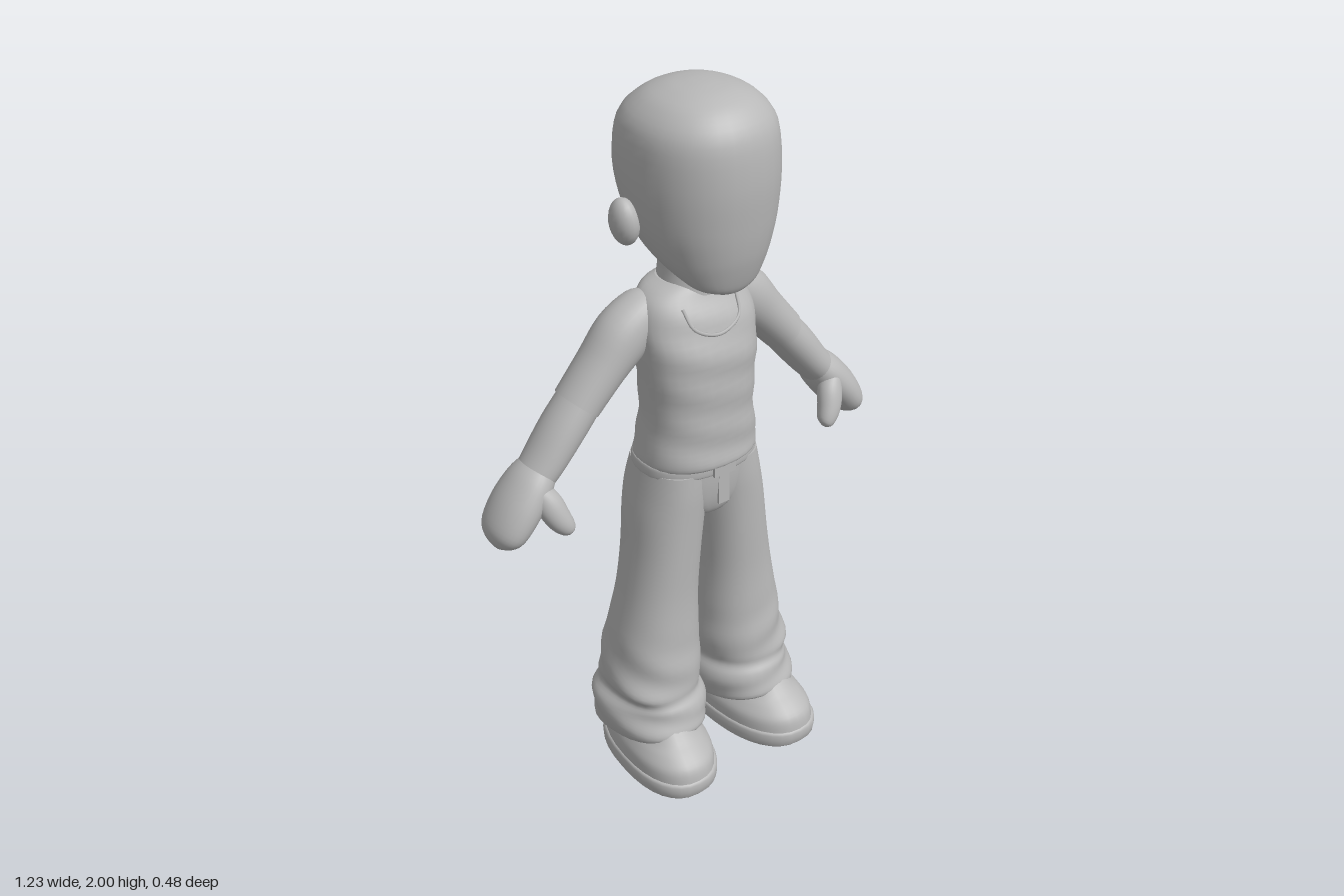
import * as THREE from 'three';

const grey = new THREE.MeshStandardMaterial({ color: 0xb8b8b8 });
grey.name = 'plain grey';
const SIDES = 32;

// Smoothly interpolate rows of numbers (Catmull-Rom on every column)
function resample(rows, steps) {
  const out = [];
  for (let i = 0; i < rows.length - 1; i++) {
    const p0 = rows[Math.max(i - 1, 0)], p1 = rows[i], p2 = rows[i + 1];
    const p3 = rows[Math.min(i + 2, rows.length - 1)];
    for (let s = 0; s < steps; s++) {
      const t = s / steps;
      out.push(p1.map((_, k) => {
        const a = p0[k], b = p1[k], c = p2[k], d = p3[k];
        return 0.5 * (2 * b + (c - a) * t + (2 * a - 5 * b + 4 * c - d) * t * t
          + (3 * b - a - 3 * c + d) * t * t * t);
      }));
    }
  }
  out.push(rows[rows.length - 1]);
  return out;
}

// Skin closed rings of points, with flat end caps
function skin(rings) {
  const pos = [], index = [], n = SIDES;
  const add = (p) => pos.push(p.x, p.y, p.z) / 3 - 1;
  rings.forEach((r) => r.forEach(add));
  for (let i = 0; i < rings.length - 1; i++) {
    for (let j = 0; j < n; j++) {
      const a = i * n + j, b = i * n + (j + 1) % n;
      index.push(a, a + n, b, b, a + n, b + n);
    }
  }
  [rings[0], rings[rings.length - 1]].forEach((ring, end) => {
    const mid = new THREE.Vector3();
    ring.forEach((p) => mid.addScaledVector(p, 1 / n));
    const first = ring.map(add)[0], c = add(mid);
    for (let j = 0; j < n; j++) {
      const a = first + j, b = first + (j + 1) % n;
      if (end) index.push(a, c, b); else index.push(a, b, c);
    }
  });
  const g = new THREE.BufferGeometry();
  g.setAttribute('position', new THREE.Float32BufferAttribute(pos, 3));
  g.setIndex(index);
  g.computeVertexNormals();
  return g;
}

const sp = (v, e) => Math.sign(v) * Math.pow(Math.abs(v), e);
const angles = Array.from({ length: SIDES }, (_, j) => (j / SIDES) * Math.PI * 2);

// Upright form. Rows: [y, xMin, xMax, zFront, zBack]
function upright(rows, { steps = 4, round = 1, warp } = {}) {
  return skin(resample(rows, steps).map(([y, x0, x1, zf, zb]) => angles.map((a) => {
    const p = new THREE.Vector3(
      (x0 + x1) / 2 + sp(Math.cos(a), round) * (x1 - x0) / 2, y,
      (zf + zb) / 2 + sp(Math.sin(a), round) * (zf - zb) / 2);
    if (warp) warp(p, a);
    return p;
  })));
}
// Rows for symmetric forms: [y, halfWidth, zFront, zBack]
const even = (rows) => rows.map(([y, w, f, b]) => [y, -w, w, f, b]);

// Limb bending in the xy plane. Rows: [x, y, z, radius, depthRadius]
function limb(rows, steps = 4) {
  const r = resample(rows, steps);
  return skin(r.map(([x, y, z, rn, rz], i) => {
    const p = r[Math.max(i - 1, 0)], q = r[Math.min(i + 1, r.length - 1)];
    const d = new THREE.Vector2(q[0] - p[0], q[1] - p[1]).normalize();
    return angles.map((a) => new THREE.Vector3(
      x + d.y * Math.cos(a) * rn, y - d.x * Math.cos(a) * rn, z + Math.sin(a) * rz));
  }));
}

function put(parent, name, geometry, x = 0, y = 0, z = 0) {
  const m = new THREE.Mesh(geometry, grey);
  m.name = name;
  m.position.set(x, y, z);
  parent.add(m);
  return m;
}

function buildSide() {
  const side = new THREE.Group();
  // Ear
  const ear = put(side, 'ear', new THREE.SphereGeometry(1, 20, 14), 0.2, 1.67, -0.045);
  ear.scale.set(0.036, 0.063, 0.045);
  ear.rotation.z = -0.1;

  // Arm in two pieces, meeting at the sleeve seam by the elbow
  put(side, 'upperArm', limb([
    [0.10, 1.415, -0.075, 0.03, 0.04], [0.125, 1.40, -0.075, 0.058, 0.064],
    [0.19, 1.345, -0.077, 0.077, 0.074], [0.26, 1.27, -0.08, 0.066, 0.072],
    [0.335, 1.185, -0.083, 0.06, 0.07]]));
  put(side, 'forearm', limb([
    [0.32, 1.20, -0.083, 0.056, 0.066], [0.38, 1.13, -0.084, 0.057, 0.068],
    [0.44, 1.055, -0.085, 0.052, 0.066], [0.48, 1.01, -0.085, 0.047, 0.06]]));

  // Mitten hand and thumb
  put(side, 'hand', limb([
    [0.455, 1.04, -0.085, 0.045, 0.06], [0.485, 1.005, -0.085, 0.056, 0.076],
    [0.53, 0.95, -0.085, 0.058, 0.085], [0.57, 0.895, -0.085, 0.05, 0.08],
    [0.588, 0.868, -0.085, 0.033, 0.058], [0.597, 0.852, -0.085, 0.008, 0.02]]));
  put(side, 'thumb', limb([
    [0.50, 1.02, -0.045, 0.02, 0.025], [0.475, 0.975, -0.025, 0.036, 0.036],
    [0.455, 0.925, -0.006, 0.034, 0.034], [0.435, 0.892, 0.004, 0.024, 0.026],
    [0.427, 0.88, 0.008, 0.006, 0.008]]));

  // Trouser leg: folds above a cuff that hangs lower at the heel
  put(side, 'trouserLeg', upright([
    [0.10, 0.035, 0.275, 0.12, -0.195], [0.115, 0.015, 0.292, 0.14, -0.215],
    [0.16, 0.008, 0.298, 0.138, -0.222], [0.205, 0.012, 0.297, 0.12, -0.222],
    [0.235, 0.024, 0.278, 0.106, -0.198], [0.27, 0.018, 0.287, 0.11, -0.188],
    [0.33, 0.015, 0.276, 0.1, -0.19], [0.42, 0.016, 0.262, 0.09, -0.172],
    [0.55, 0.02, 0.236, 0.083, -0.15], [0.68, 0.014, 0.215, 0.085, -0.15],
    [0.80, 0.002, 0.2, 0.088, -0.162], [0.88, -0.005, 0.185, 0.09, -0.166],
    [0.95, -0.01, 0.17, 0.088, -0.155]], {
    round: 0.9,
    warp: (p, a) => {
      const low = THREE.MathUtils.smoothstep(0.5 - p.y, 0, 0.3);
      p.x += 0.005 * low * Math.sin(3 * a + p.y * 45);
      p.z += 0.006 * low * Math.sin(2 * a + p.y * 50);
      p.y += p.z * 0.22 * (1 - THREE.MathUtils.smoothstep(p.y, 0.1, 0.28));
    },
  }));

  // Shoe: flat sole and rounded upper, toes turned slightly out
  const toeOut = (p) => { p.x += (p.z - 0.02) * 0.08; };
  put(side, 'shoeSole', upright([
    [0, 0.045, 0.285, 0.225, -0.19], [0.01, 0.036, 0.294, 0.237, -0.2],
    [0.045, 0.036, 0.294, 0.24, -0.2], [0.052, 0.045, 0.285, 0.23, -0.192]],
    { steps: 2, round: 0.85, warp: toeOut }));
  put(side, 'shoeUpper', upright([
    [0.045, 0.042, 0.288, 0.234, -0.195], [0.085, 0.045, 0.285, 0.225, -0.19],
    [0.115, 0.06, 0.272, 0.195, -0.185], [0.14, 0.075, 0.258, 0.16, -0.18],
    [0.18, 0.09, 0.245, 0.12, -0.17], [0.21, 0.1, 0.235, 0.09, -0.15]],
    { round: 0.88, warp: toeOut }));

  return side;
}

export function createModel() {
  const model = new THREE.Group();
  model.name = 'standingFigure';

  // Head: flat face, full back of the skull, jaw sloping up to the neck
  put(model, 'head', upright(even([
    [1.492, 0.045, 0.145, 0.085], [1.51, 0.092, 0.155, 0.03],
    [1.555, 0.132, 0.17, -0.07], [1.605, 0.16, 0.182, -0.15],
    [1.68, 0.183, 0.192, -0.2], [1.79, 0.194, 0.199, -0.235],
    [1.9, 0.184, 0.188, -0.218], [1.96, 0.14, 0.148, -0.16],
    [1.988, 0.085, 0.095, -0.1], [1.998, 0.035, 0.04, -0.045],
    [2.0, 0.005, 0.005, -0.01]]), { round: 0.92 }));

  // Neck
  put(model, 'neck', upright(even([
    [1.38, 0.1, 0.04, -0.14], [1.45, 0.085, 0.035, -0.14],
    [1.52, 0.075, 0.028, -0.135], [1.62, 0.075, 0.03, -0.13]])));

  // Sleeveless shirt over the torso
  put(model, 'shirt', upright(even([
    [0.962, 0.16, 0.1, -0.155], [0.972, 0.17, 0.108, -0.165],
    [1.02, 0.165, 0.106, -0.157], [1.1, 0.155, 0.104, -0.147],
    [1.2, 0.16, 0.104, -0.145], [1.29, 0.168, 0.1, -0.148],
    [1.37, 0.17, 0.074, -0.151], [1.425, 0.155, 0.046, -0.148],
    [1.455, 0.125, 0.03, -0.14], [1.472, 0.085, 0.015, -0.125]]), {
    round: 0.85,
    warp: (p) => { p.z += 0.003 * Math.sin(p.y * 60 + p.x * 14); },
  }));
  // Scooped neckline
  const scoop = new THREE.CatmullRomCurve3([
    [-0.085, 1.425, 0.036], [-0.07, 1.375, 0.068], [0, 1.348, 0.081],
    [0.07, 1.375, 0.068], [0.085, 1.425, 0.036]].map((p) => new THREE.Vector3(...p)));
  put(model, 'neckline', new THREE.TubeGeometry(scoop, 30, 0.005, 6));

  // Hips, waistband, buckle and fly
  put(model, 'hips', upright(even([
    [0.785, 0.03, 0.03, -0.09], [0.8, 0.08, 0.065, -0.135], [0.84, 0.15, 0.082, -0.162],
    [0.9, 0.172, 0.091, -0.167], [0.965, 0.166, 0.094, -0.158]]), { round: 0.85 }));
  put(model, 'belt', upright(even([
    [0.938, 0.168, 0.094, -0.16], [0.943, 0.174, 0.1, -0.166],
    [0.967, 0.172, 0.101, -0.166], [0.972, 0.165, 0.095, -0.16]]), { round: 0.85 }));
  put(model, 'buckle', new THREE.BoxGeometry(0.07, 0.034, 0.009), 0, 0.955, 0.103);
  put(model, 'fly', new THREE.BoxGeometry(0.035, 0.1, 0.008), 0.008, 0.888, 0.089);

  // Arms, legs and ears, mirrored
  const left = buildSide();
  left.name = 'leftSide';
  const right = buildSide();
  right.name = 'rightSide';
  right.scale.x = -1;
  model.add(left, right);
  return model;
}
